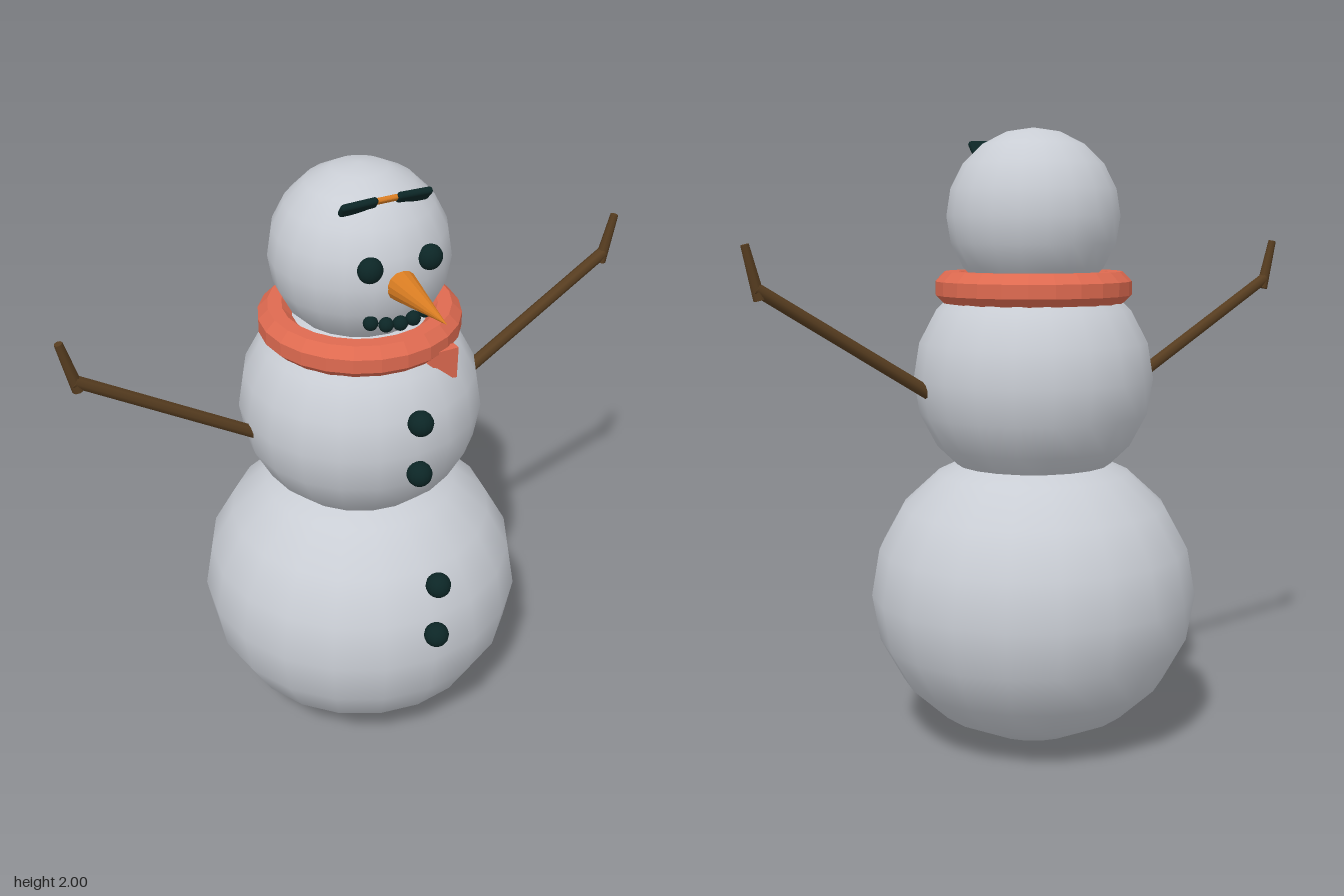
import * as THREE from 'three';
import { RoundedBoxGeometry } from 'three/addons/geometries/RoundedBoxGeometry.js';

const Z = -0.016; // body axis

function material(name, color, flat = false) {
  const m = new THREE.MeshStandardMaterial({ color, flatShading: flat });
  m.name = name;
  return m;
}

export function createModel() {
  const root = new THREE.Group();
  root.name = 'snowman';
  const snow = material('snow', 0xc9cdd4);
  const coal = material('coal', 0x0c2626);
  const wool = material('scarf red', 0xde6a50, true);
  const carrot = material('carrot orange', 0xd87c22, true);
  const wood = material('wood brown', 0x573d20);

  function add(name, geometry, mat, x = 0, y = 0, z = 0) {
    const mesh = new THREE.Mesh(geometry, mat);
    mesh.name = name;
    mesh.position.set(x, y, z);
    root.add(mesh);
    return mesh;
  }
  // Straight stick between two points
  function stick(name, a, b, r0, r1) {
    const from = new THREE.Vector3(...a), to = new THREE.Vector3(...b);
    const dir = to.clone().sub(from);
    const mesh = add(name, new THREE.CylinderGeometry(r1, r0, dir.length(), 8), wood);
    mesh.position.copy(from).add(to).multiplyScalar(0.5);
    mesh.quaternion.setFromUnitVectors(new THREE.Vector3(0, 1, 0), dir.normalize());
  }

  // Snowballs: name, height, radius, vertical radius
  for (const [name, y, r, ry] of [
    ['lowerBody', 0.495, 0.535, 0.493],
    ['upperBody', 1.205, 0.39, 0.375],
    ['head', 1.722, 0.28, 0.278],
  ]) {
    add(name, new THREE.SphereGeometry(1, 20, 10), snow, 0, y, Z).scale.set(r, ry, r);
  }

  // Scarf: octagonal ring and a short pointed tail
  const ring = new THREE.TorusGeometry(0.264, 0.0575, 8, 24);
  const scarf = new THREE.LatheGeometry(
    Array.from({ length: 9 }, (_, i) => {
      const a = (i - 0.5) * Math.PI / 4;
      return new THREE.Vector2(0.264 + 0.0575 * Math.cos(a), 0.0575 * Math.sin(a));
    }), 24);
  ring.dispose();
  add('scarf', scarf, wool, 0, 1.494, Z);
  const tail = new THREE.Shape([
    [0.08, 1.45], [0.1, 1.432], [0.165, 1.378], [0.185, 1.376], [0.187, 1.48], [0.1, 1.48],
  ].map(p => new THREE.Vector2(...p)));
  add('scarfTail', new THREE.ExtrudeGeometry(tail, { depth: 0.03, bevelEnabled: false }), wool, 0, 0, 0.245);

  // Coal buttons
  for (const [y, z] of [[1.325, 0.385], [1.143, 0.385], [0.807, 0.522], [0.604, 0.522]]) {
    add('button', new THREE.SphereGeometry(0.04, 14, 10), coal, 0, y, z);
  }

  // Mouth
  for (let i = -2; i <= 2; i++) {
    add('mouthCoal', new THREE.SphereGeometry(0.023, 12, 8), coal,
      i * 0.045, 1.597 + i * i * 0.0035, 0.248 - i * i * 0.004);
  }

  // Carrot nose
  add('nose', new THREE.ConeGeometry(0.052, 0.285, 14), carrot, 0, 1.722, 0.3725).rotation.x = Math.PI / 2;

  // Paired parts
  for (const s of [1, -1]) {
    add('eye', new THREE.SphereGeometry(0.039, 14, 10), coal, s * 0.097, 1.787, 0.243).scale.z = 0.85;

    // Lens standing out along the forehead
    const lens = add('lens', new RoundedBoxGeometry(0.115, 0.052, 0.022, 2, 0.01), coal, s * 0.088, 1.942, 0.15);
    lens.rotation.set(0.72, 0, -s * 0.06);

    // Arm and bent twig end
    stick('arm', [s * 0.33, 1.146, Z], [s * 0.915, 1.508, Z], 0.021, 0.02);
    stick('hand', [s * 0.905, 1.475, Z], [s * 0.945, 1.638, Z], 0.019, 0.013);
  }

  // Bridge between the lenses
  add('bridge', new RoundedBoxGeometry(0.075, 0.022, 0.016, 2, 0.007), carrot, 0, 1.95, 0.155).rotation.x = 0.72;

  return root;
}
